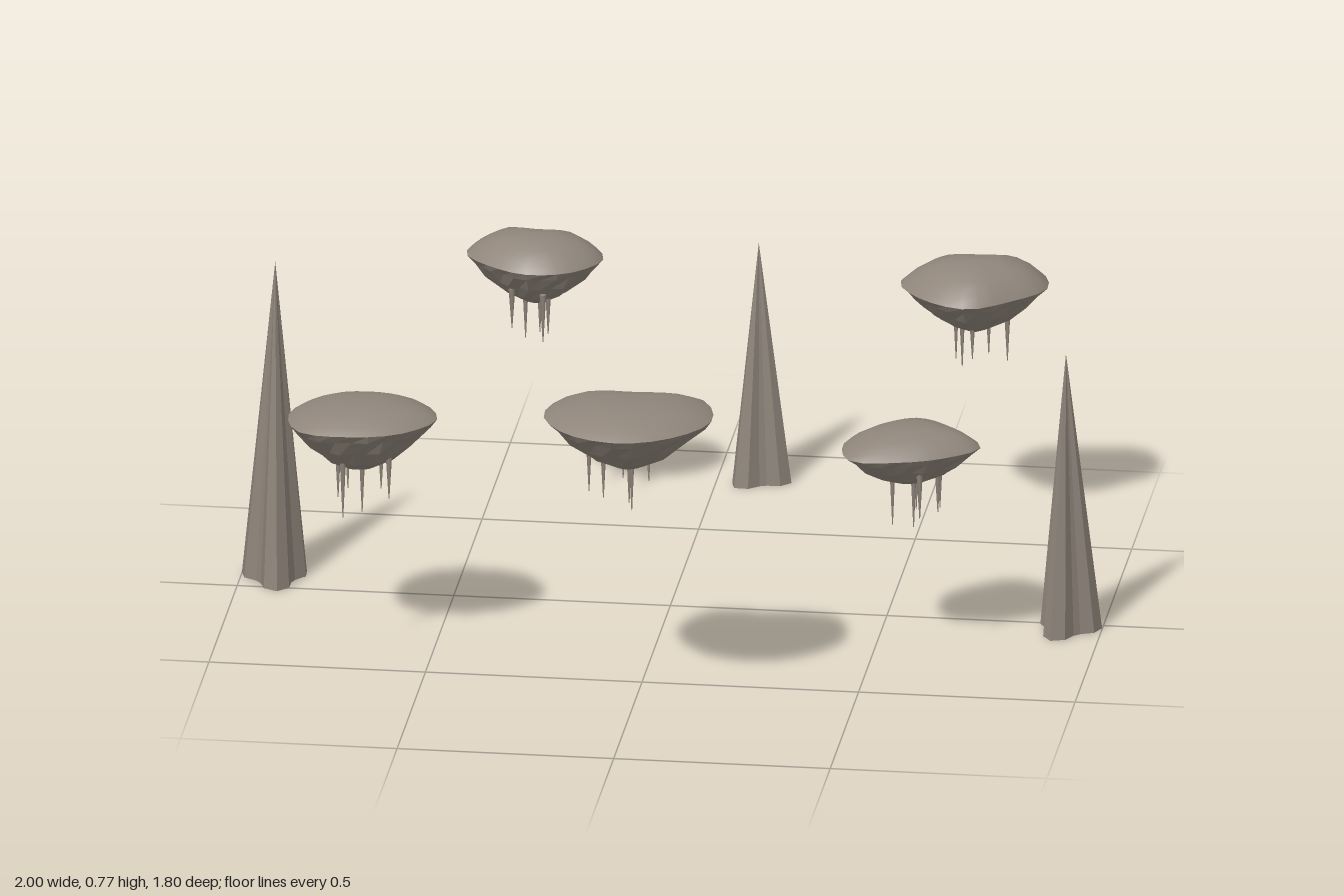
import * as THREE from 'three';
import { mergeVertices } from 'three/addons/utils/BufferGeometryUtils.js';

const stone = new THREE.MeshStandardMaterial({ color: 0x8f857b });
stone.name = 'warm grey stone';

// Skin a stack of closed rings listed from top to bottom; flat gives hard facets
function loft(rings, flat) {
  const n = rings[0].length;
  const pos = rings.flat().flatMap(p => [p.x, p.y, p.z]);
  const index = [];
  for (let r = 0; r < rings.length - 1; r++) {
    for (let i = 0; i < n; i++) {
      const j = (i + 1) % n;
      const a = r * n + i, b = r * n + j, c = a + n, d = b + n;
      index.push(a, b, d, a, d, c);
    }
  }
  let geo = new THREE.BufferGeometry();
  geo.setAttribute('position', new THREE.Float32BufferAttribute(pos, 3));
  geo.setIndex(index);
  geo = flat ? geo.toNonIndexed() : mergeVertices(geo, 1e-5);
  geo.computeVertexNormals();
  return geo;
}

function addMesh(group, geo, name) {
  const mesh = new THREE.Mesh(geo, stone);
  mesh.name = name;
  group.add(mesh);
  return mesh;
}

// Three-lobed spire rising straight to a point
function makeSpire({ x, z, height, radius, turn }) {
  const ring = (s, y) => Array.from({ length: 15 }, (_, i) => {
    const a = i * Math.PI * 2 / 15;
    const r = s * radius * (0.75 + 0.25 * Math.cos(3 * a));
    const b = a + THREE.MathUtils.degToRad(turn);
    return new THREE.Vector3(x + r * Math.cos(b), y, z + r * Math.sin(b));
  });
  return loft([ring(0, height), ring(0.5, height / 2), ring(1, 0), ring(0, 0)], true);
}

// Smooth closed outline through eight radii, starting at +x and turning towards +z
function makeOutline([x, z], radii, y) {
  const points = radii.map((r, i) => {
    const a = i * Math.PI / 4;
    return new THREE.Vector3(x + r * Math.cos(a), y, z + r * Math.sin(a));
  });
  return new THREE.CatmullRomCurve3(points, true).getSpacedPoints(24).slice(0, 24);
}

// Island with a smooth domed top, a faceted tapering underside and hanging roots
function makeIsland({ centre, radii, top, rim, bottom, hang, spread, lowest, count }, seed) {
  const group = new THREE.Group();
  const edge = makeOutline(centre, radii, rim);
  const mid = new THREE.Vector3(centre[0], rim, centre[1]);
  const ring = (scale, y) => edge.map((p, i) => {
    const q = mid.clone().lerp(p, scale(i));
    q.y = y;
    return q;
  });

  const dome = [0, 0.35, 0.65, 0.86, 0.96, 1].map(s =>
    ring(() => s, rim + (top - rim) * (1 - s ** 3)));
  addMesh(group, loft(dome, false), 'islandTop');

  const keel = [0, 0.16, 0.46, 0.76, 0.96, 1].map((h, k) => ring(i => {
    const rough = 1 + 0.06 * Math.sin(i * 2.3 + k * 1.7 + seed) * Math.sin(Math.PI * h);
    return (1 - h) ** 0.5 * (1 - 0.1 * h) * rough;
  }, rim - h * (rim - bottom)));
  addMesh(group, loft(keel, true), 'islandUnderside');

  for (let i = 0; i < count; i++) {
    const a = i * 2.4 + seed;
    const r = spread * Math.sqrt((i + 0.6) / count);
    const high = bottom + 0.05;
    const low = lowest + 0.02 * (i % 3);
    const root = addMesh(group, new THREE.CylinderGeometry(0.008, 0.001, high - low, 5), 'hangingRoot');
    root.position.set(hang[0] + r * Math.cos(a), (high + low) / 2, hang[1] + r * Math.sin(a));
  }
  return group;
}

const SPIRES = [
  { x: -0.92, z: -0.06, height: 0.775, radius: 0.086, turn: 80 },
  { x: 0.095, z: -0.835, height: 0.58, radius: 0.078, turn: 9 },
  { x: 0.918, z: 0.035, height: 0.675, radius: 0.083, turn: 348 },
];

const ISLANDS = [
  { name: 'frontIsland', centre: [0, 0.73], top: 0.77, rim: 0.732, bottom: 0.613,
    radii: [0.19, 0.163, 0.167, 0.177, 0.198, 0.198, 0.15, 0.205],
    hang: [-0.03, 0.69], spread: 0.08, lowest: 0.51, count: 6 },
  { name: 'frontRightIsland', centre: [-0.66, 0.415], top: 0.624, rim: 0.587, bottom: 0.46,
    radii: [0.176, 0.148, 0.14, 0.177, 0.165, 0.15, 0.138, 0.162],
    hang: [-0.67, 0.41], spread: 0.09, lowest: 0.36, count: 6 },
  { name: 'frontLeftIsland', centre: [0.595, 0.28], top: 0.572, rim: 0.527, bottom: 0.436,
    radii: [0.158, 0.113, 0.115, 0.177, 0.155, 0.127, 0.14, 0.134],
    hang: [0.61, 0.265], spread: 0.08, lowest: 0.33, count: 6 },
  { name: 'backLeftIsland', centre: [0.635, -0.54], top: 0.675, rim: 0.612, bottom: 0.505,
    radii: [0.165, 0.131, 0.157, 0.153, 0.175, 0.156, 0.122, 0.172],
    hang: [0.63, -0.55], spread: 0.08, lowest: 0.41, count: 5 },
  { name: 'backRightIsland', centre: [-0.37, -0.445], top: 0.725, rim: 0.67, bottom: 0.56,
    radii: [0.157, 0.135, 0.123, 0.12, 0.16, 0.16, 0.106, 0.145],
    hang: [-0.375, -0.415], spread: 0.07, lowest: 0.475, count: 5 },
];

export function createModel() {
  const model = new THREE.Group();
  model.name = 'floatingIslands';
  SPIRES.forEach(s => addMesh(model, makeSpire(s), 'spire'));
  ISLANDS.forEach((data, i) => {
    const island = makeIsland(data, i);
    island.name = data.name;
    model.add(island);
  });
  return model;
}
